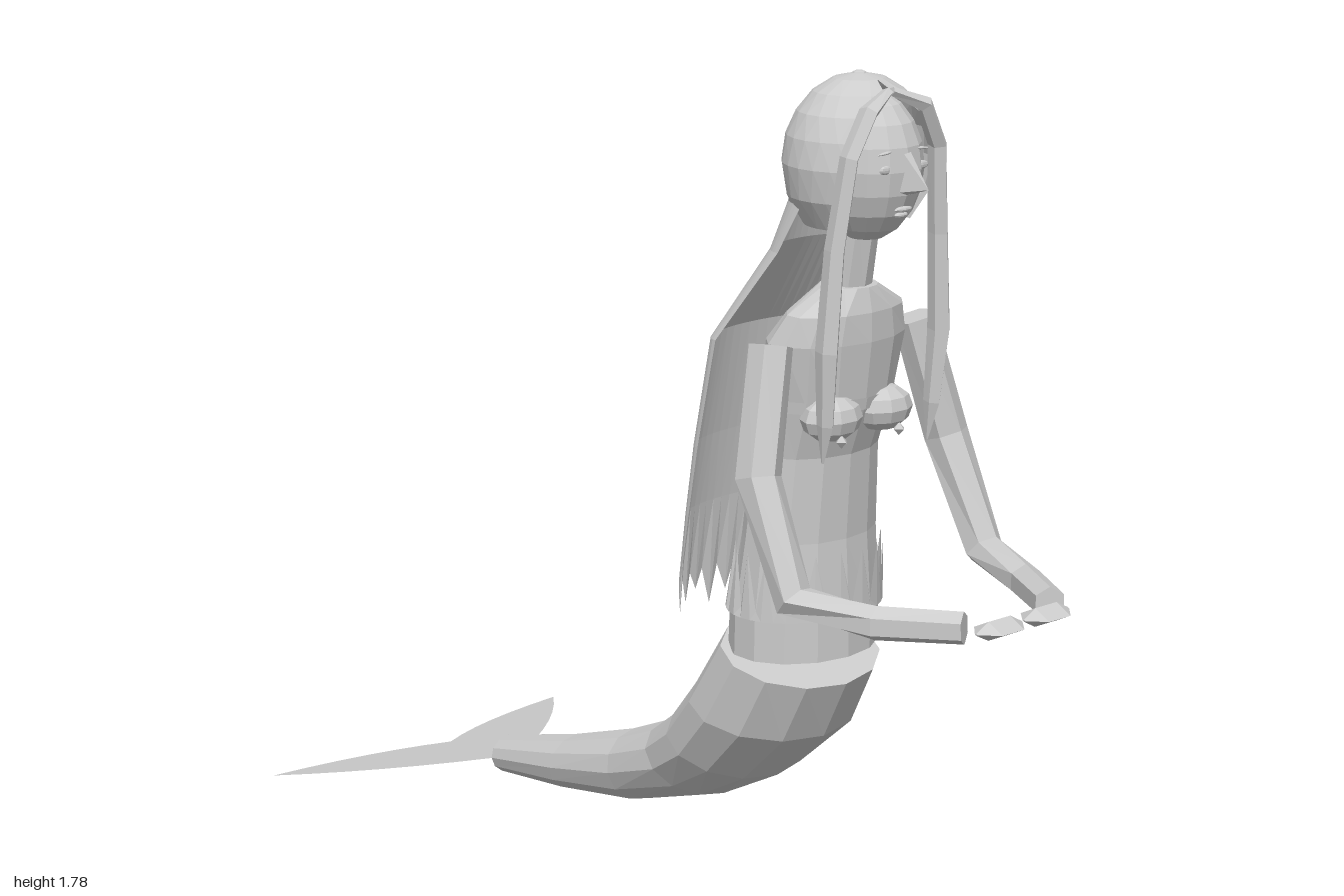
import * as THREE from 'three';

const grey = new THREE.MeshStandardMaterial({ color: 0xcccccc, side: THREE.DoubleSide });
grey.name = 'plain grey';
const V = (x, y, z) => new THREE.Vector3(x, y, z);

// Faceted mesh with hard-edged normals
function part(name, geo, parent) {
  const g = geo.index ? geo.toNonIndexed() : geo;
  g.computeVertexNormals();
  const mesh = new THREE.Mesh(g, grey);
  mesh.name = name;
  parent.add(mesh);
  return mesh;
}

// Skin between rows of points; closed rows wrap around and may be capped
function skin(rows, closed = true, caps = true) {
  const pos = [];
  const n = rows[0].length;
  const tri = (...p) => p.forEach((v) => pos.push(v.x, v.y, v.z));
  for (let i = 0; i < rows.length - 1; i++) {
    for (let j = 0; j < (closed ? n : n - 1); j++) {
      const k = (j + 1) % n;
      const [a, b, c, d] = [rows[i][j], rows[i][k], rows[i + 1][k], rows[i + 1][j]];
      tri(a, b, d);
      tri(b, c, d);
    }
  }
  if (closed && caps) {
    [rows[0], rows[rows.length - 1]].forEach((row, end) => {
      const mid = row.reduce((m, p) => m.add(p), V(0, 0, 0)).divideScalar(n);
      row.forEach((p, j) => {
        const q = row[(j + 1) % n];
        end ? tri(mid, p, q) : tri(mid, q, p);
      });
    });
  }
  const g = new THREE.BufferGeometry();
  g.setAttribute('position', new THREE.Float32BufferAttribute(pos, 3));
  return g;
}

// Horizontal oval ring: height, half width, back z, front z
function oval([y, w, back, front], n = 14) {
  return Array.from({ length: n }, (_, j) => {
    const a = (j / n) * Math.PI * 2;
    return V(w * Math.sin(a), y, (back + front) / 2 + ((front - back) / 2) * Math.cos(a));
  });
}

// Tapered limb through [x, y, z, radius] stations
function limb(stations, sides = 6, squash = 1) {
  const pts = stations.map((s) => V(s[0], s[1], s[2]));
  return skin(pts.map((p, i) => {
    const t = pts[Math.min(i + 1, pts.length - 1)].clone().sub(pts[Math.max(i - 1, 0)]).normalize();
    const ref = Math.abs(t.z) > 0.8 ? V(0, 1, 0) : V(0, 0, 1);
    const u = ref.addScaledVector(t, -ref.dot(t)).normalize();
    const v = t.clone().cross(u);
    return Array.from({ length: sides }, (_, j) => {
      const a = (j / sides) * Math.PI * 2;
      const r = stations[i][3];
      return p.clone().addScaledVector(u, r * Math.cos(a)).addScaledVector(v, r * squash * Math.sin(a));
    });
  }));
}

function ellipsoid(name, parent, [x, y, z], [rx, ry, rz], w = 8, h = 6) {
  return part(name, new THREE.SphereGeometry(1, w, h).scale(rx, ry, rz).translate(x, y, z), parent);
}

function addTail(group) {
  // Stations from tip to hip: upper z, y, lower z, y, half width
  const stations = [
    [-0.65, 0.095, -0.64, 0.01, 0.053], [-0.4, 0.165, -0.41, 0.036, 0.075],
    [-0.2, 0.232, -0.155, 0.08, 0.095], [-0.08, 0.285, 0.1, 0.165, 0.125],
    [0.01, 0.35, 0.27, 0.255, 0.165], [0.1, 0.45, 0.41, 0.38, 0.195], [0.2, 0.6, 0.475, 0.51, 0.188],
  ];
  part('tail', skin(stations.map(([tz, ty, bz, by, w]) => Array.from({ length: 12 }, (_, j) => {
    const a = (j / 12) * Math.PI * 2;
    const c = Math.cos(a) / 2;
    return V(w * Math.sin(a), (ty + by) / 2 + (by - ty) * c, (tz + bz) / 2 + (bz - tz) * c);
  }))), group);

  // Forked fin, sloping gently down to its two points
  const s = new THREE.Shape();
  s.moveTo(-0.052, 0.65);
  s.lineTo(0.052, 0.65);
  s.quadraticCurveTo(0.27, 0.8, 0.42, 1);
  s.quadraticCurveTo(0.16, 0.97, 0, 0.87);
  s.quadraticCurveTo(-0.16, 0.97, -0.42, 1);
  s.quadraticCurveTo(-0.27, 0.8, -0.052, 0.65);
  const fin = new THREE.ShapeGeometry(s, 6).rotateX(-Math.PI / 2);
  const p = fin.attributes.position;
  for (let i = 0; i < p.count; i++) p.setY(i, (p.getZ(i) + 1) * 0.143);
  part('tailFin', fin, group);
}

function addBody(group) {
  part('torso', skin([
    [0.57, 0.17, 0.21, 0.48], [0.66, 0.17, 0.215, 0.48], [0.82, 0.158, 0.25, 0.47],
    [1.0, 0.147, 0.27, 0.48], [1.11, 0.152, 0.285, 0.52], [1.24, 0.168, 0.33, 0.535],
    [1.3, 0.145, 0.38, 0.535], [1.35, 0.06, 0.41, 0.525],
  ].map((r) => oval(r))), group);
  part('neck', skin([[1.33, 0.047, 0.42, 0.51], [1.5, 0.045, 0.44, 0.54]].map((r) => oval(r, 8))), group);

  // Pointed fringe round the waist
  const low = oval([0.66, 0.178, 0.205, 0.49], 36);
  const high = oval([0.8, 0.172, 0.235, 0.488], 36).map((p, j) => (j % 2 ? p : p.setY(0.68)));
  part('waistFringe', skin([low, high], true, false), group);

  // Bodice: strap and two cups
  part('bodiceStrap', skin([[1.1, 0.156, 0.277, 0.52], [1.125, 0.158, 0.28, 0.525]].map((r) => oval(r)), true, false), group);
  for (const s of [1, -1]) {
    const cup = new THREE.SphereGeometry(1, 10, 6).scale(0.07, 0.048, 0.055);
    part('bodiceCup', cup.translate(s * 0.07, 1.09, 0.495), group);
    part('bodiceBead', new THREE.OctahedronGeometry(0.014).translate(s * 0.08, 1.05, 0.535), group);

    part('arm', limb([
      [s * 0.198, 1.25, 0.455, 0.045], [s * 0.262, 1.0, 0.49, 0.047],
      [s * 0.268, 0.775, 0.6, 0.041], [s * 0.21, 0.758, 0.77, 0.035], [s * 0.12, 0.765, 0.92, 0.033],
    ]), group);
    part('hand', limb([
      [s * 0.128, 0.763, 0.96, 0.004], [s * 0.095, 0.763, 0.96, 0.038],
      [s * 0.035, 0.763, 0.96, 0.038], [s * 0.004, 0.763, 0.96, 0.004],
    ], 4, 0.5), group);
  }
}

function addHead(group) {
  ellipsoid('face', group, [0, 1.595, 0.51], [0.11, 0.152, 0.122], 16, 10);
  part('nose', skin([
    [V(-0.022, 1.545, 0.612), V(0, 1.545, 0.612), V(0.022, 1.545, 0.612)],
    [V(-0.018, 1.555, 0.62), V(0, 1.567, 0.685), V(0.018, 1.555, 0.62)],
    [V(-0.008, 1.63, 0.625), V(0, 1.635, 0.635), V(0.008, 1.63, 0.625)],
  ], false), group);
  ellipsoid('upperLip', group, [0, 1.52, 0.617], [0.024, 0.006, 0.008]);
  ellipsoid('lowerLip', group, [0, 1.508, 0.611], [0.018, 0.006, 0.008]);
  for (const s of [1, -1]) {
    ellipsoid('eye', group, [s * 0.047, 1.602, 0.617], [0.02, 0.009, 0.005]);
    const brow = ellipsoid('eyebrow', group, [0, 0, 0], [0.023, 0.003, 0.005]);
    brow.position.set(s * 0.047, 1.635, 0.615);
    brow.rotation.z = -s * 0.1;
  }
}

function addHair(group) {
  // Cap with an opening for the face: polar angle, half opening angle
  const cap = [[0.02, 0], [0.35, 0], [0.65, 0.15], [0.95, 0.55], [1.25, 0.75], [1.57, 0.85], [1.95, 0.95], [2.35, 1.1]];
  part('hairCap', skin(cap.reverse().map(([t, gap]) => Array.from({ length: 19 }, (_, j) => {
    const a = gap + (j / 18) * (Math.PI * 2 - 2 * gap);
    return V(0.156 * Math.sin(t) * Math.sin(a), 1.6 + 0.175 * Math.cos(t), 0.49 + 0.146 * Math.sin(t) * Math.cos(a));
  })), false), group);
  ellipsoid('crownKnot', group, [0, 1.772, 0.49], [0.015, 0.006, 0.015]);

  // Long curved fall down the back with a ragged hem: y, half width, back z, side z
  const fall = [
    [0.7, 0.193, 0.13, 0.18], [0.85, 0.198, 0.145, 0.21], [1.0, 0.2, 0.165, 0.24], [1.23, 0.192, 0.205, 0.285],
    [1.42, 0.14, 0.325, 0.41], [1.52, 0.125, 0.355, 0.46],
  ];
  part('hairFall', skin(fall.map(([y, w, back, side], i) => Array.from({ length: 25 }, (_, j) => {
    const u = 1 - j / 12;
    const hem = i === 0 && j % 2 ? 0.08 - 0.02 * (j % 3) : 0;
    return V(w * Math.sin(u * Math.PI / 2), y - hem, side + (back - side) * Math.cos(u * Math.PI / 2));
  })), false), group);

  // Locks swept from the parting and hanging in front of the shoulders
  for (const s of [1, -1]) {
    part('frontLock', limb([
      [s * 0.005, 1.745, 0.575, 0.012], [s * 0.075, 1.715, 0.595, 0.022], [s * 0.12, 1.63, 0.59, 0.022],
      [s * 0.142, 1.45, 0.575, 0.024], [s * 0.155, 1.25, 0.57, 0.027], [s * 0.148, 1.1, 0.56, 0.02], [s * 0.145, 1.02, 0.55, 0.003],
    ], 5, 0.8), group);
  }
}

export function createModel() {
  const group = new THREE.Group();
  group.name = 'mermaid';
  addTail(group);
  addBody(group);
  addHead(group);
  addHair(group);
  return group;
}
